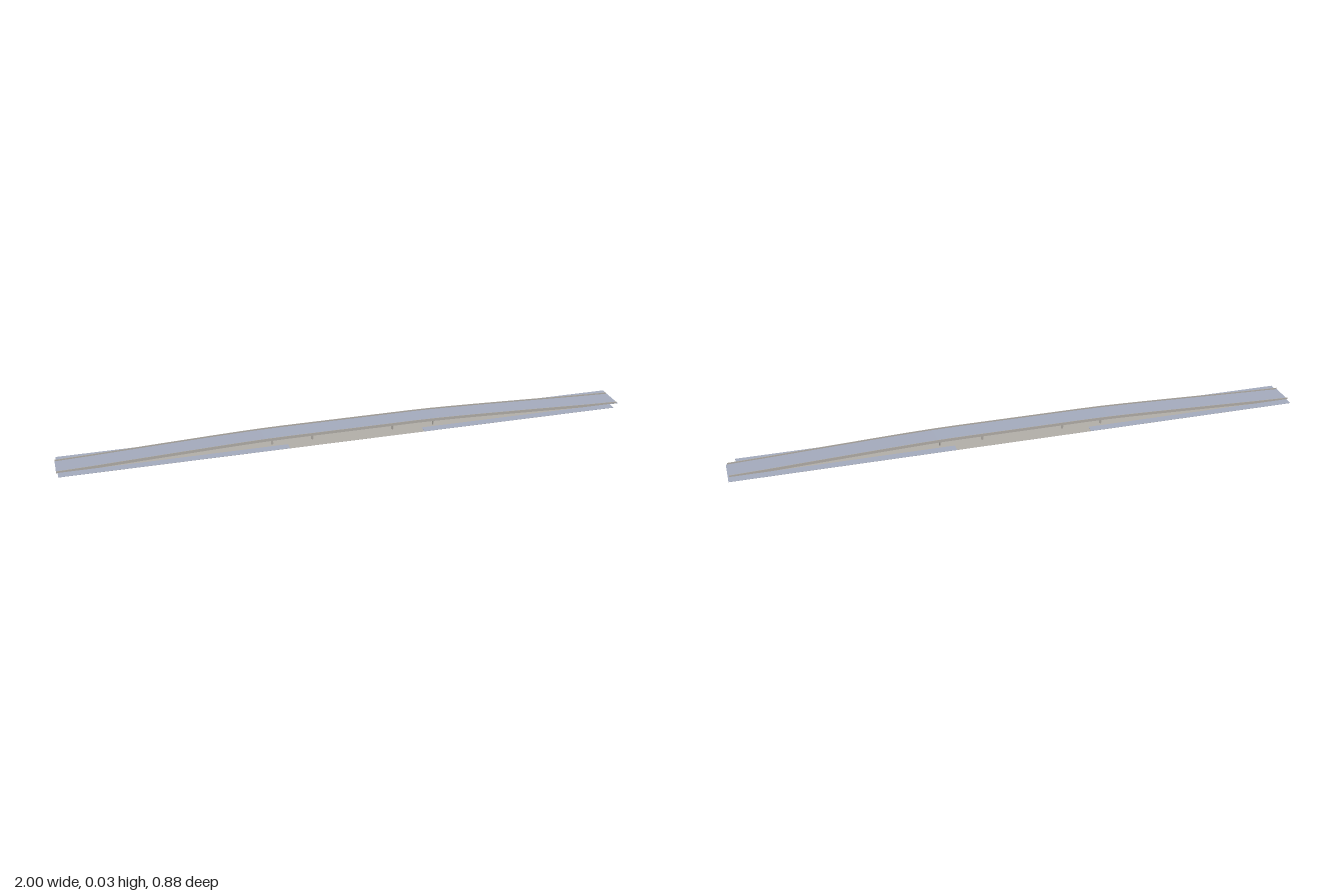
import * as THREE from 'three';

export function createModel() {
  const model = new THREE.Group();
  model.name = 'overpass';
  const bridge = new THREE.Group();
  bridge.name = 'bridge';
  bridge.rotation.y = 0.358; // the road runs diagonally
  model.add(bridge);

  const asphalt = new THREE.MeshStandardMaterial({ name: 'blue grey asphalt', color: 0xa2a9bb });
  const concrete = new THREE.MeshStandardMaterial({ name: 'warm grey concrete', color: 0xb0aca6 });

  const add = (name, geometry, material, x = 0, y = 0, z = 0) => {
    const mesh = new THREE.Mesh(geometry, material);
    mesh.name = name;
    mesh.position.set(x, y, z);
    bridge.add(mesh);
    return mesh;
  };
  // Box given by its x, y and z ranges
  const slab = (name, material, x0, x1, y0, y1, z0, z1) =>
    add(name, new THREE.BoxGeometry(x1 - x0, y1 - y0, z1 - z0), material,
      (x0 + x1) / 2, (y0 + y1) / 2, (z0 + z1) / 2);

  // Height of the road along its length
  const half = [[1.045, 0.0015], [0.92, 0.0055], [0.7, 0.0142], [0.5, 0.0215],
    [0.4, 0.0247], [0.32, 0.0267], [0.24, 0.0275]];
  const crest = [...half.map(([x, y]) => [-x, y]), ...half.slice().reverse()];

  // Band following the road between two height offsets, clipped at the ground
  const band = (name, material, low, high, z0, z1) => {
    const top = crest.map(([x, y]) => new THREE.Vector2(x, y + high));
    const bottom = crest.map(([x, y]) => new THREE.Vector2(x, Math.max(y + low, 0.0002)));
    const shape = new THREE.Shape([...top, ...bottom.reverse()]);
    const geometry = new THREE.ExtrudeGeometry(shape, { depth: z1 - z0, bevelEnabled: false });
    add(name, geometry, material, 0, 0, z0);
  };

  // Raised deck, road surface and side barriers
  band('deck', concrete, -0.0055, -0.0003, -0.045, 0.045);
  band('roadSurface', asphalt, -0.0003, 0.0003, -0.0435, 0.0435);
  for (const side of [-1, 1]) {
    band(side > 0 ? 'frontBarrier' : 'backBarrier', concrete, -0.0003, 0.0053,
      side * 0.0445 - 0.001, side * 0.0445 + 0.001);
  }

  // Ground under the bridge
  slab('groundBase', concrete, -0.9, 0.9, 0, 0.0004, -0.078, 0.078);

  // Paved ends and side lanes at ground level
  slab('rightEndPaving', asphalt, -1.04, -0.9, 0, 0.0009, -0.078, 0.078);
  slab('leftEndPaving', asphalt, 0.9, 1.016, 0, 0.0009, -0.078, 0.078);
  slab('leftEndTip', asphalt, 1.016, 1.05, 0, 0.0009, -0.078, 0.046);
  for (const [z0, z1] of [[-0.078, -0.045], [0.045, 0.078]]) {
    slab('rightSideLane', asphalt, -0.9, -0.24, 0.0004, 0.0009, z0, z1);
    slab('leftSideLane', asphalt, 0.26, 0.9, 0.0004, 0.0009, z0, z1);
  }

  // Four pairs of pillars
  for (const x of [-0.293, -0.146, 0.155, 0.31]) {
    for (const z of [-0.027, 0.027]) {
      add('pillar', new THREE.CylinderGeometry(0.0035, 0.0035, 0.023, 12), concrete, x, 0.0115, z);
    }
  }
  return model;
}
